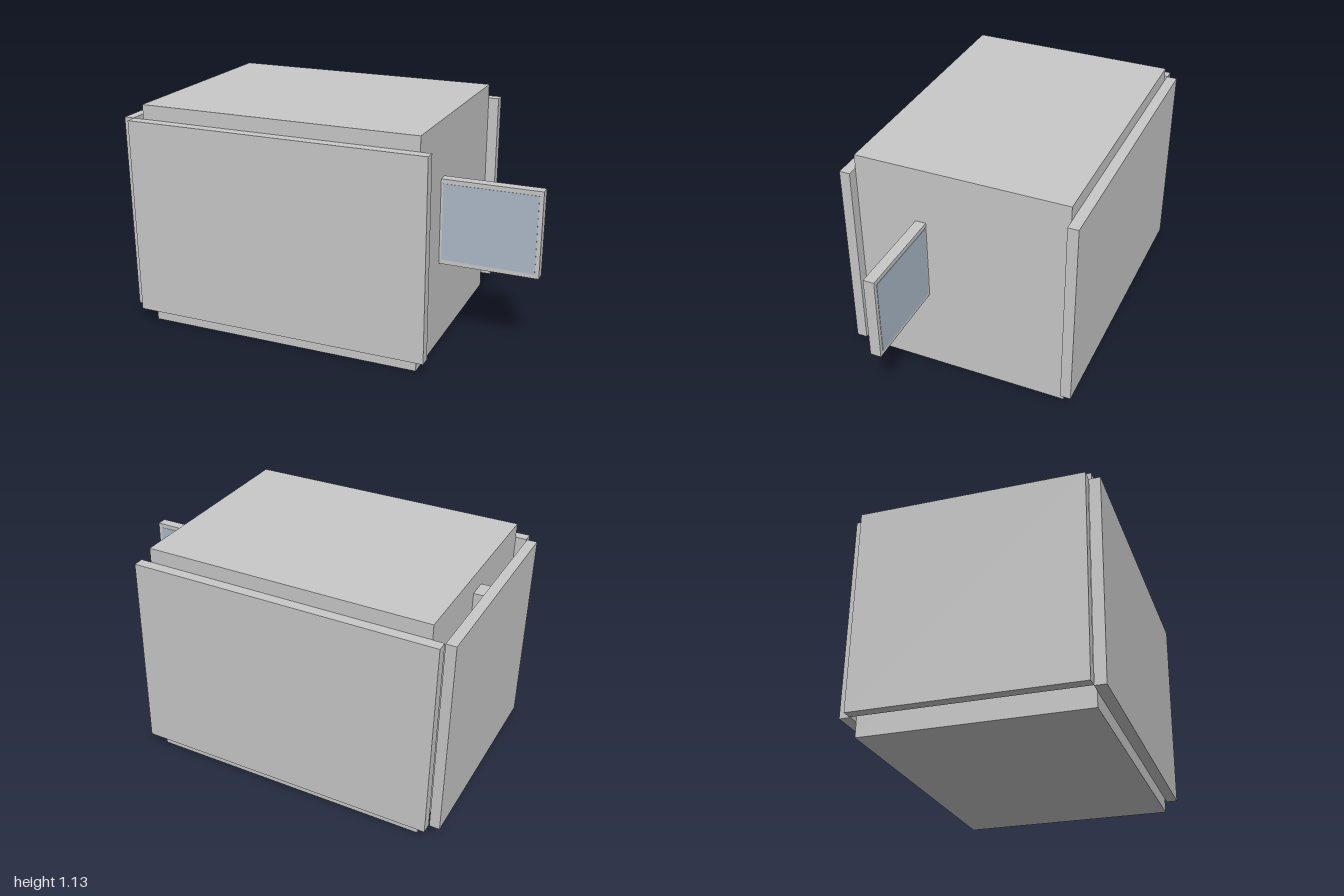
import * as THREE from 'three';

export function createModel() {
  const group = new THREE.Group();
  const grey = new THREE.MeshStandardMaterial({ name: 'light grey', color: 0xc8c8c8 });
  const blue = new THREE.MeshStandardMaterial({ name: 'pale blue', color: 0xacbac8 });

  // Box given by its lower and upper corners
  function box(name, material, [x0, y0, z0], [x1, y1, z1]) {
    const mesh = new THREE.Mesh(new THREE.BoxGeometry(x1 - x0, y1 - y0, z1 - z0), material);
    mesh.position.set((x0 + x1) / 2, (y0 + y1) / 2, (z0 + z1) / 2);
    mesh.name = name;
    group.add(mesh);
  }

  // Main block
  box('body', grey, [-0.893, 0, -0.531], [0.518, 1.135, 0.531]);

  // Cladding plates on the front and back
  box('frontPlate', grey, [-0.946, 0.072, 0.531], [0.571, 1.063, 0.584]);
  box('backPlate', grey, [-0.946, 0.072, -0.584], [0.571, 1.063, -0.531]);

  // Side plate standing off the body on a small spacer
  box('sidePlate', grey, [-1, 0.072, -0.534], [-0.95, 1.063, 0.531]);
  box('sideSpacer', grey, [-0.95, 0.95, -0.05], [-0.893, 1.04, 0.05]);

  // Panel projecting from the other side, with a pane on each face
  box('panelFrame', grey, [0.518, 0.427, 0.178], [1, 0.851, 0.231]);
  box('panelFrontPane', blue, [0.53, 0.449, 0.23], [0.98, 0.829, 0.233]);
  box('panelBackPane', blue, [0.53, 0.449, 0.176], [0.98, 0.829, 0.179]);

  return group;
}
